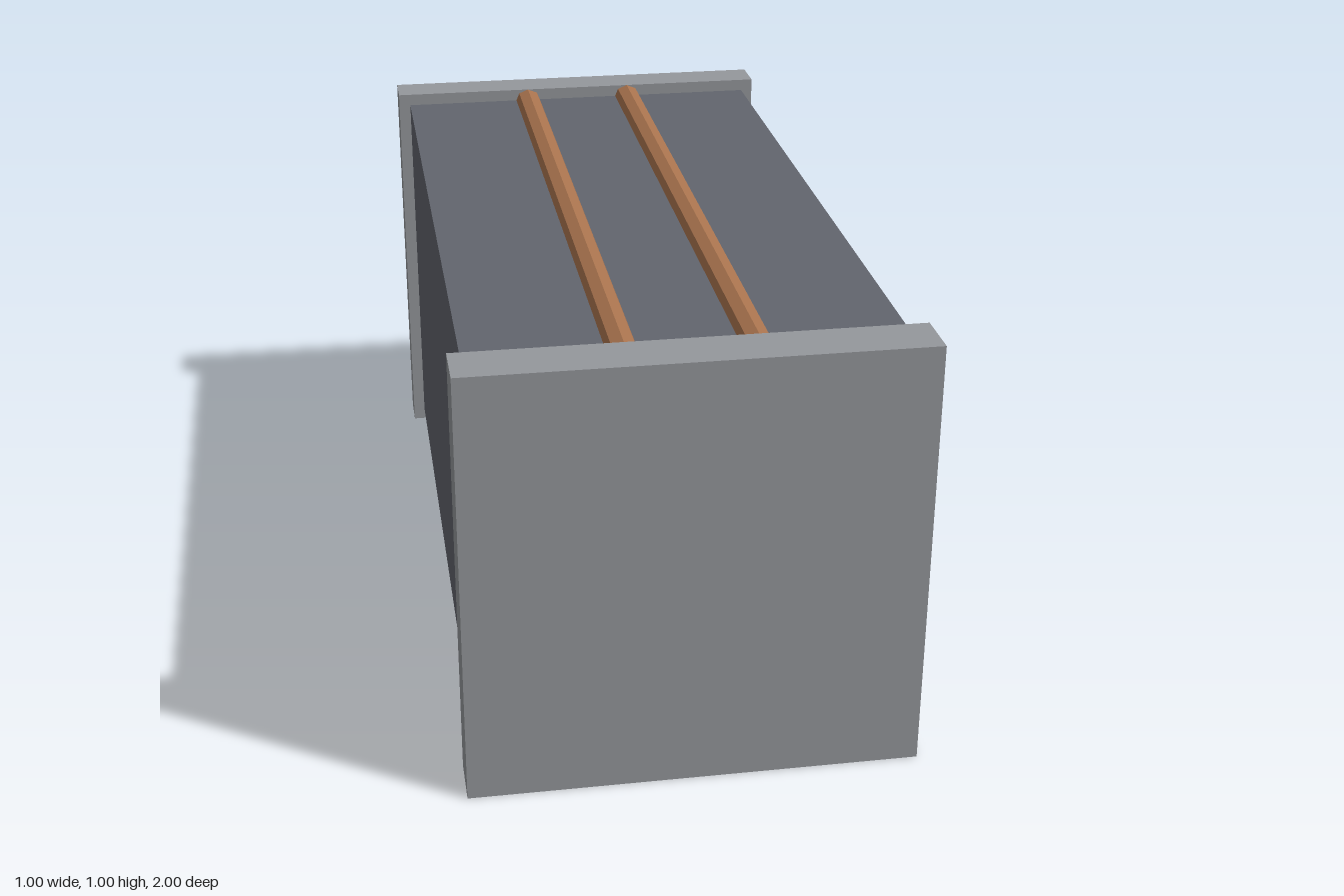
import * as THREE from 'three';

const mat = (color) => new THREE.MeshStandardMaterial({ color, flatShading: true });
const plateMat = mat(0x95989c), bodyMat = mat(0x62656e), copperMat = mat(0xa8734e);
const goldMat = mat(0xb8933f), cyanMat = mat(0x74c8d2), darkMat = mat(0x3c3d42);

export function createModel() {
  const model = new THREE.Group();

  const add = (name, geometry, material) => {
    const mesh = new THREE.Mesh(geometry, material);
    mesh.name = name;
    model.add(mesh);
    return mesh;
  };
  // Box given by its minimum and maximum corner
  const box = (name, material, [x0, y0, z0], [x1, y1, z1]) =>
    add(name, new THREE.BoxGeometry(x1 - x0, y1 - y0, z1 - z0), material)
      .position.set((x0 + x1) / 2, (y0 + y1) / 2, (z0 + z1) / 2);
  // Faceted rod lying along z
  const rod = (name, material, radius, length, x, y, z) => {
    const geometry = new THREE.CylinderGeometry(radius, radius, length, 8).rotateX(Math.PI / 2);
    add(name, geometry, material).position.set(x, y, z);
  };

  // Main hull and its end plates
  box('hull', bodyMat, [-0.47, 0.03, -0.88], [0.47, 0.97, 0.88]);
  box('frontPlate', plateMat, [-0.5, 0, 0.88], [0.5, 1, 1]);
  box('backPlate', plateMat, [-0.5, 0, -0.98], [0.5, 1, -0.88]);

  // Copper pipes along the roof
  for (const side of [-1, 1]) rod('roofPipe', copperMat, 0.035, 1.76, side * 0.14, 0.965, 0);

  // Fittings on the left wall
  box('statusLight', cyanMat, [0.47, 0.78, 0.45], [0.48, 0.825, 0.75]);
  box('accessPanel', plateMat, [0.47, 0.35, 0.05], [0.5, 0.65, 0.55]);
  rod('wallConduit', darkMat, 0.01, 1.2, 0.475, 0.205, 0.1);

  // Gold trim above and below the hatch
  for (const y of [0.01, 0.95]) box('hatchTrim', goldMat, [-0.45, y, -0.99], [0.45, y + 0.04, -0.98]);

  // Round hatch disc
  const disc = new THREE.CylinderGeometry(0.44, 0.44, 0.01, 16).rotateX(Math.PI / 2);
  add('hatchDisc', disc, plateMat).position.set(0, 0.5, -0.983);

  // Six iris blades with narrow gaps between them
  const half = Math.PI / 6;
  const blade = new THREE.Shape([
    new THREE.Vector2(0.006, 0),
    new THREE.Vector2(0.4 * Math.cos(half), -0.4 * Math.sin(half) + 0.003),
    new THREE.Vector2(0.4 * Math.cos(half), 0.4 * Math.sin(half) - 0.003),
  ]);
  const bladeGeometry = new THREE.ExtrudeGeometry(blade, { depth: 0.013, bevelEnabled: false });
  for (let i = 0; i < 6; i++) {
    const mesh = add('irisBlade', bladeGeometry, bodyMat);
    mesh.position.set(0, 0.5, -1);
    mesh.rotation.z = half + (i * Math.PI) / 3;
  }

  return model;
}
